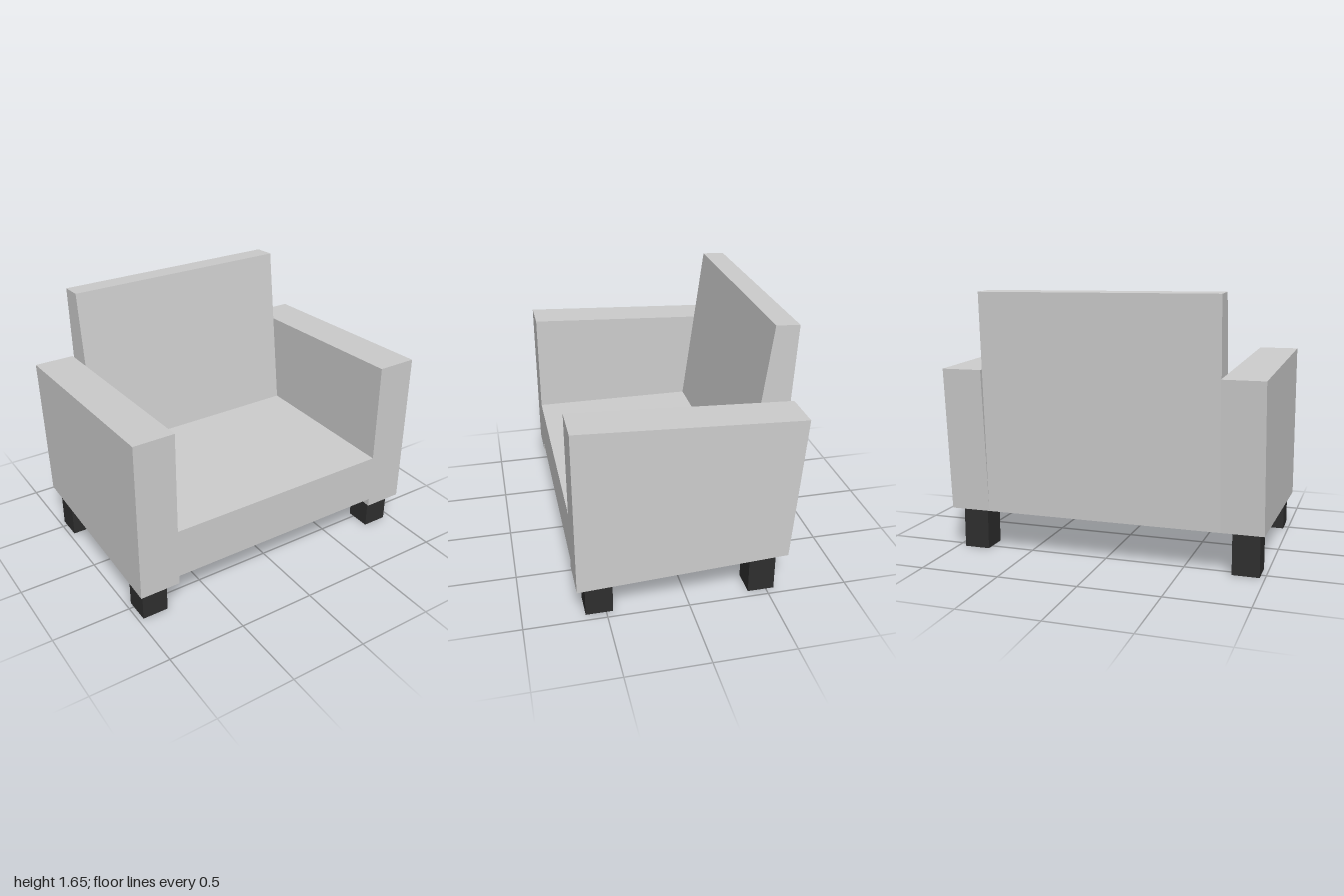
import * as THREE from 'three';

// Side profile given as [z, y] points, extruded across x from x0 to x1
function slab(name, profile, x0, x1, material) {
  const shape = new THREE.Shape(profile.map(([z, y]) => new THREE.Vector2(z, y)));
  const geometry = new THREE.ExtrudeGeometry(shape, { depth: x1 - x0, bevelEnabled: false });
  geometry.rotateY(-Math.PI / 2).translate(x1, 0, 0);
  const mesh = new THREE.Mesh(geometry, material);
  mesh.name = name;
  return mesh;
}

export function createModel() {
  const model = new THREE.Group();
  model.name = 'armchair';

  const fabric = new THREE.MeshStandardMaterial({ color: 0xcccccc });
  fabric.name = 'light grey fabric';
  const wood = new THREE.MeshStandardMaterial({ color: 0x2e2e2e });
  wood.name = 'dark legs';

  const inner = 0.743; // inner face of the arms

  // Arms: tapered towards the back
  const arm = [[0.677, 0.207], [0.677, 1.237], [-0.677, 1.174], [-0.61, 0.27]];
  model.add(slab('leftArm', arm, inner, 1, fabric));
  model.add(slab('rightArm', arm, -1, -inner, fabric));

  // Seat block between the arms
  const seat = [[0.677, 0.262], [0.677, 0.585], [-0.45, 0.585], [-0.45, 0.262]];
  model.add(slab('seat', seat, -inner, inner, fabric));

  // Reclined backrest, thinner at the top
  const back = [[-0.355, 0.27], [-0.533, 1.653], [-0.677, 1.645], [-0.61, 0.27]];
  model.add(slab('backrest', back, -inner, inner, fabric));

  // Four square legs, pushed slightly into the arms
  for (const [side, x] of [['left', 0.868], ['right', -0.885]]) {
    for (const [end, z, height] of [['Front', 0.542, 0.23], ['Back', -0.467, 0.28]]) {
      const leg = new THREE.Mesh(new THREE.BoxGeometry(0.166, height, 0.166), wood);
      leg.position.set(x, height / 2, z);
      leg.name = side + end + 'Leg';
      model.add(leg);
    }
  }
  return model;
}
